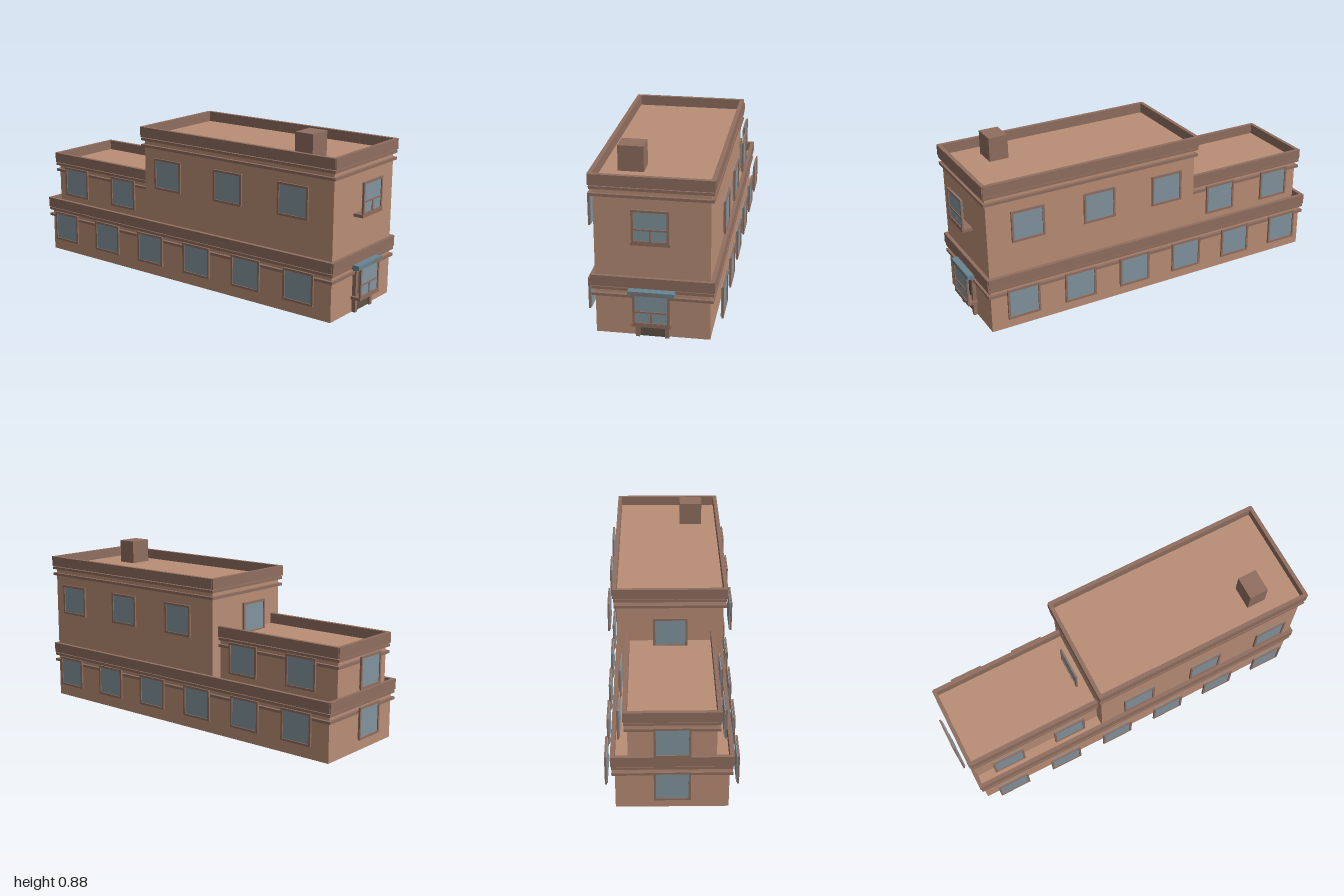
import * as THREE from 'three';

const paint = (color) => new THREE.MeshStandardMaterial({ color });

export function createModel() {
  const wall = paint(0xb98d76);
  const trim = paint(0x8f6e5f);
  const glass = paint(0x82949e);
  const awning = paint(0x698390);
  const dark = paint(0x5f5347);
  const model = new THREE.Group();

  // Box given by its minimum and maximum on each axis
  function box(parent, name, material, [x0, x1], [y0, y1], [z0, z1]) {
    const mesh = new THREE.Mesh(new THREE.BoxGeometry(x1 - x0, y1 - y0, z1 - z0), material);
    mesh.position.set((x0 + x1) / 2, (y0 + y1) / 2, (z0 + z1) / 2);
    mesh.name = name;
    parent.add(mesh);
    return mesh;
  }

  // Storey block with two string courses and a parapet around its roof
  function storey(name, halfWidth, y0, roof, zBack, zFront, openFront = false) {
    const group = new THREE.Group();
    group.name = name;
    box(group, 'walls', wall, [-halfWidth, halfWidth], [y0, roof], [zBack, zFront]);

    const w = halfWidth + 0.016;
    const front = openFront ? 0 : 0.014;
    for (const drop of [0.006, 0.041]) {
      box(group, 'stringCourse', trim, [-w, w], [roof - drop - 0.014, roof - drop],
        [zBack - 0.014, zFront + front]);
    }

    const outer = halfWidth + 0.021;
    const height = [roof - 0.001, roof + 0.053];
    for (const s of [-1, 1]) {
      const xs = [s * halfWidth, s * outer].sort((a, b) => a - b);
      box(group, 'sideParapet', trim, xs, height,
        [zBack - 0.012, zFront + (openFront ? 0 : 0.012)]);
    }
    const across = [-outer + 0.004, outer - 0.004];
    box(group, 'backParapet', trim, across, height, [zBack - 0.018, zBack + 0.002]);
    if (!openFront) {
      box(group, 'frontParapet', trim, across, height, [zFront - 0.002, zFront + 0.018]);
    }
    model.add(group);
  }

  storey('groundFloor', 0.273, 0, 0.254, -0.948, 0.948);
  storey('frontTower', 0.273, 0.25, 0.759, -0.226, 0.948);
  storey('rearUpperFloor', 0.21, 0.25, 0.507, -0.948, -0.22, true);

  // Frame outline shared by every window
  const W = 0.088, H = 0.082, RIM = 0.011;
  function rect(Type, w, h) {
    return new Type([[-w, -h], [w, -h], [w, h], [-w, h]].map(([x, y]) => new THREE.Vector2(x, y)));
  }
  const frameShape = rect(THREE.Shape, W, H);
  frameShape.holes.push(rect(THREE.Path, W - RIM, H - RIM));
  const frameGeometry = new THREE.ExtrudeGeometry(frameShape, { depth: 0.009, bevelEnabled: false });

  // Window facing +z before turning; its outer face lies 0.009 beyond the given point
  function window(name, x, y, z, turn, divided = false) {
    const group = new THREE.Group();
    group.name = name;
    const frame = new THREE.Mesh(frameGeometry, trim);
    frame.name = 'frame';
    group.add(frame);
    const w = W - RIM / 2, h = H - RIM / 2;
    box(group, 'pane', glass, [-w, w], [-h, h], [-0.005, 0.004]);
    if (divided) {
      box(group, 'crossBar', trim, [-w, w], [-0.02, -0.012], [0, 0.008]);
      box(group, 'mullion', trim, [-0.004, 0.004], [-h, -0.016], [0, 0.008]);
      box(group, 'sill', trim, [-0.092, 0.092], [-H - 0.011, -H + 0.004], [-0.045, 0.0095]);
    }
    group.position.set(x, y, z);
    group.rotation.y = turn;
    model.add(group);
  }

  // Side windows, mirrored left and right
  const sideRows = [
    [0.317, 0.162, [-0.79, -0.474, -0.158, 0.158, 0.474, 0.79]],
    [0.317, 0.583, [-0.03, 0.36, 0.75]],
    [0.253, 0.414, [-0.765, -0.41]],
  ];
  for (const [x, y, zs] of sideRows) {
    for (const z of zs) {
      window('leftWindow', x, y, z, Math.PI / 2);
      window('rightWindow', -x, y, z, -Math.PI / 2);
    }
  }

  // Back and front windows
  window('backLowerWindow', 0, 0.162, -0.991, Math.PI);
  window('backUpperWindow', 0, 0.414, -0.991, Math.PI);
  window('towerBackWindow', 0, 0.583, -0.272, Math.PI);
  window('frontUpperWindow', 0, 0.583, 0.991, 0, true);
  window('frontLowerWindow', 0, 0.162, 0.991, 0, true);

  // Entrance behind the lower front window, with its awning
  for (const s of [-1, 1]) {
    box(model, 'doorJamb', trim, [s * 0.07 - 0.01, s * 0.07 + 0.01], [0, 0.235], [0.94, 0.968]);
  }
  box(model, 'doorLintel', trim, [-0.08, 0.08], [0.215, 0.235], [0.94, 0.968]);
  box(model, 'door', dark, [-0.06, 0.06], [0, 0.215], [0.94, 0.956]);
  box(model, 'awning', awning, [-0.11, 0.11], [0.23, 0.252], [0.94, 1.0]);

  // Chimney on the tower roof
  box(model, 'chimney', trim, [-0.192, -0.068], [0.75, 0.885], [0.67, 0.772]);

  return model;
}
